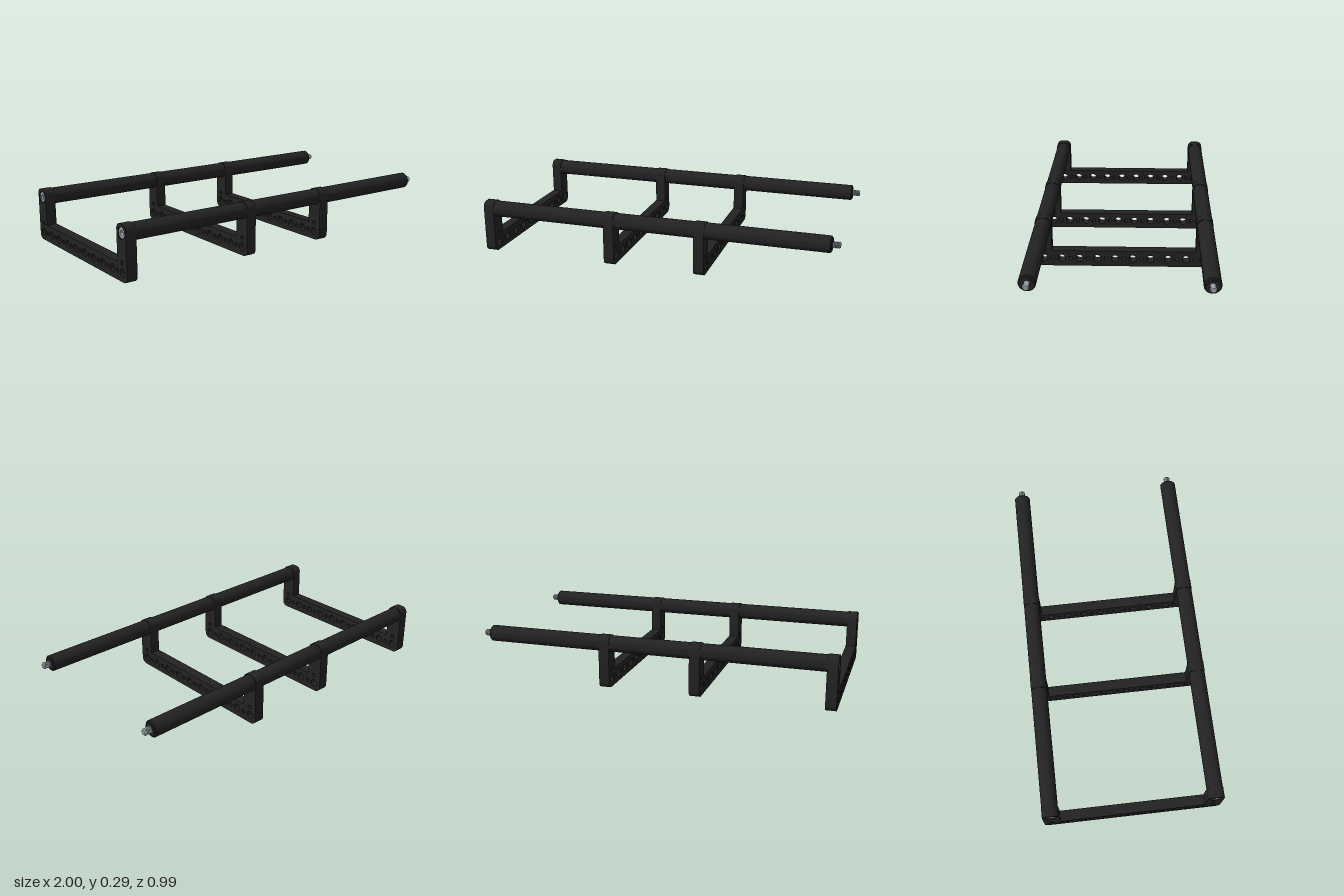
import * as THREE from 'three';
import { toCreasedNormals } from 'three/addons/utils/BufferGeometryUtils.js';

const RAIL_Y = 0.248, RAIL_Z = 0.45, RAIL_R = 0.045;

function circle(z, y, r) {
  return new THREE.Path().absarc(z, y, r, 0, Math.PI * 2, true);
}

// U-shaped perforated bracket, drawn in (z, y) and extruded along x
function bracketGeometry(width, boltHoles) {
  const o = 0.495, i = 0.404, top = 0.294, bar = 0.094, r = 0.033;
  const s = new THREE.Shape();
  s.moveTo(-o + r, 0);
  s.lineTo(o - r, 0);
  s.absarc(o - r, r, r, -Math.PI / 2, 0, false);
  s.absarc(o - r, top - r, r, 0, Math.PI / 2, false);
  s.absarc(i + r, top - r, r, Math.PI / 2, Math.PI, false);
  s.lineTo(i, bar);
  s.lineTo(-i, bar);
  s.absarc(-i - r, top - r, r, 0, Math.PI / 2, false);
  s.absarc(-o + r, top - r, r, Math.PI / 2, Math.PI, false);
  s.absarc(-o + r, r, r, Math.PI, Math.PI * 1.5, false);
  // alternating large and small holes along the bar
  for (let k = 0; k < 19; k++) {
    s.holes.push(circle(-0.45 + k * 0.05, 0.047, k % 2 ? 0.0115 : 0.0215));
  }
  for (const z of [-RAIL_Z, RAIL_Z]) {
    s.holes.push(circle(z, 0.098, 0.0115));
    if (boltHoles) s.holes.push(circle(z, RAIL_Y, 0.032));
  }
  const g = new THREE.ExtrudeGeometry(s, { depth: width, bevelEnabled: false, curveSegments: 10 });
  g.rotateY(-Math.PI / 2);
  g.translate(width, 0, 0);
  return toCreasedNormals(g, 0.7);
}

// turned part along +x from [radius, x] pairs
function turned(points, segments = 32) {
  const g = new THREE.LatheGeometry(points.map(([r, x]) => new THREE.Vector2(r, x)), segments);
  g.rotateZ(-Math.PI / 2);
  return toCreasedNormals(g, 0.5);
}

export function createModel() {
  const model = new THREE.Group();
  const black = new THREE.MeshStandardMaterial({ color: 0x222222 });
  black.name = 'black anodised';
  const steel = new THREE.MeshStandardMaterial({ color: 0x98a0a6 });
  steel.name = 'steel';

  const add = (name, geometry, material, x, y = 0, z = 0) => {
    const mesh = new THREE.Mesh(geometry, material);
    mesh.name = name;
    mesh.position.set(x, y, z);
    model.add(mesh);
    return mesh;
  };

  // three brackets, the end one bored for the bolts
  const width = 0.058;
  const starts = [-1, -0.277, 0.235];
  starts.forEach((x, n) => add('bracket' + (n + 1), bracketGeometry(width, n === 0), black, x));

  // threaded stud profile with repeated ridges
  const stud = [[0, -0.01], [0.0145, -0.01]];
  for (let k = 0; k < 6; k++) {
    stud.push([0.0145, k * 0.007], [0.0185, k * 0.007 + 0.0035]);
  }
  stud.push([0.0145, 0.042], [0.013, 0.045], [0, 0.045]);

  // socket-head bolt, its head facing -x
  const boltHead = turned([[0, 0.02], [0.012, 0.02], [0.014, 0.003], [0.028, 0.003], [0.031, 0.007], [0.031, width], [0, width]].reverse().map(([r, x]) => [r, x]).reverse());

  const ends = [-0.277, 0.235, 0.955];
  for (const side of [1, -1]) {
    const z = side * RAIL_Z;
    const label = side > 0 ? 'front' : 'back';
    // rail sections between the brackets
    starts.forEach((s, n) => {
      const a = s + width, b = ends[n], c = 0.005;
      const last = n === 2;
      const profile = [[0, a], [RAIL_R, a], [RAIL_R, b - c], [last ? RAIL_R - c : RAIL_R, b], [0, b]];
      add(label + 'Rail' + (n + 1), turned(profile), black, 0, RAIL_Y, z);
    });
    // hexagonal collar around the stud
    const collar = add(label + 'Collar', new THREE.CylinderGeometry(0.036, 0.036, 0.006, 6), black, 0.956, RAIL_Y, z);
    collar.rotation.z = Math.PI / 2;
    add(label + 'Stud', turned(stud, 20), steel, 0.955, RAIL_Y, z);
    add(label + 'Bolt', boltHead, steel, -1, RAIL_Y, z);
    // dark hexagonal socket in the bolt head
    const socket = add(label + 'Socket', new THREE.CylinderGeometry(0.014, 0.014, 0.004, 6), black, -0.982, RAIL_Y, z);
    socket.rotation.z = Math.PI / 2;
  }
  return model;
}
